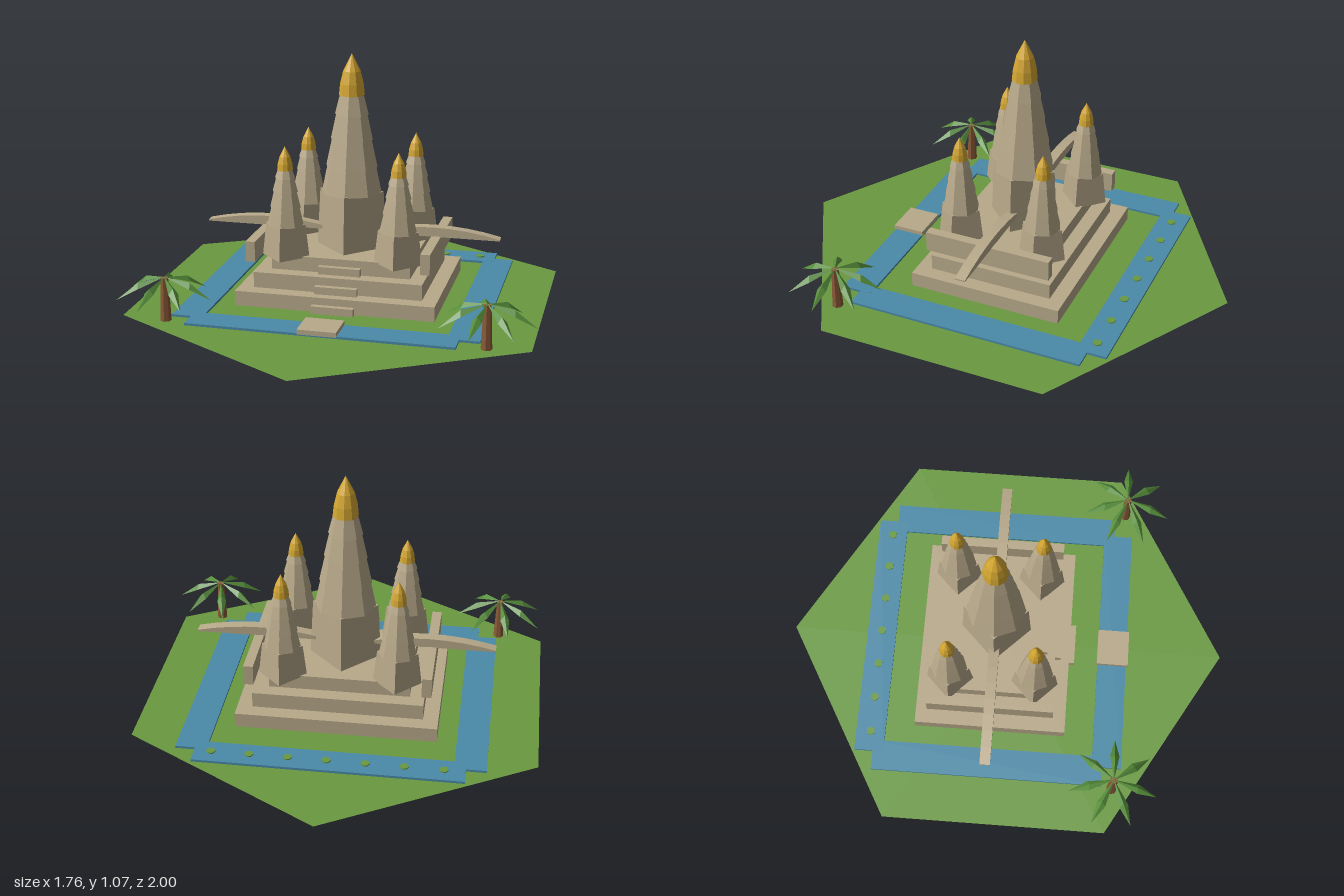
import * as THREE from 'three';

const mat = (name, color, extra = {}) => {
  const m = new THREE.MeshStandardMaterial({ color, ...extra });
  m.name = name;
  return m;
};

export function createModel() {
  const flat = { flatShading: true };
  const stone = mat('sandstone', 0xb8a98a, flat);
  const gold = mat('gold', 0xd6a832, flat);
  const grass = mat('grass', 0x6a9a40, { side: THREE.DoubleSide });
  const water = mat('water', 0x4a8aa8);
  const bark = mat('bark', 0x8b5a38, flat);
  const leaf = mat('leaf', 0x558c3a, { side: THREE.DoubleSide, flatShading: true });

  const model = new THREE.Group();
  model.name = 'templeIsland';
  // temple and grounds share this slightly offset centre
  const site = new THREE.Group();
  site.name = 'site';
  site.position.set(-0.017, 0, -0.048);
  model.add(site);

  const add = (parent, name, geo, material, x = 0, y = 0, z = 0) => {
    const m = new THREE.Mesh(geo, material);
    m.name = name;
    m.position.set(x, y, z);
    parent.add(m);
    return m;
  };
  // box given by centre x/z, width, depth and its bottom and top heights
  const box = (name, material, x, z, w, d, y0, y1) =>
    add(site, name, new THREE.BoxGeometry(w, y1 - y0, d), material, x, (y0 + y1) / 2, z);

  // hexagonal lawn
  const lawn = add(site, 'lawn', new THREE.CircleGeometry(1, 6, Math.PI / 2), grass, 0, 0, 0.048);
  lawn.rotation.x = -Math.PI / 2;

  // moat: four overlapping channels with notched corners
  for (const s of [-1, 1]) {
    box('moatCrossChannel', water, 0, s * 0.543, 1.14, 0.133, 0.004, 0.0145);
    box('moatSideChannel', water, s * 0.588, 0, 0.135, 1.05, 0.004, 0.014);
  }
  // lily pads on the rear channel
  for (let i = -3; i <= 3; i++) {
    const pad = add(site, 'lilyPad', new THREE.CylinderGeometry(0.02, 0.02, 0.005, 6), grass, 0.009 + i * 0.163, 0.017, -0.543);
    pad.rotation.y = Math.PI / 6;
  }
  box('frontLanding', stone, 0, 0.545, 0.166, 0.144, 0.012, 0.033);

  // stepped base and front stairs
  const tiers = [
    [0.436, 0.342, 0.008, 0.073],
    [0.37, 0.277, 0.073, 0.142],
    [0.306, 0.215, 0.142, 0.207],
  ];
  for (const [hx, hz, y0, y1] of tiers) {
    box('baseTier', stone, 0, 0, hx * 2, hz * 2, y0, y1);
    box('stairStep', stone, 0, hz - 0.02, 0.185, 0.09, y0, y0 + 0.033);
  }

  // raised side walls and arched beams reaching over the moat
  const arch = new THREE.Shape();
  arch.moveTo(0.08, 0.278);
  arch.lineTo(0.66, 0.278);
  arch.lineTo(0.66, 0.284);
  arch.quadraticCurveTo(0.37, 0.356, 0.08, 0.284);
  const archGeo = new THREE.ExtrudeGeometry(arch, { depth: 0.046, bevelEnabled: false, curveSegments: 8 });
  archGeo.translate(0, 0, -0.023);
  for (const s of [-1, 1]) {
    box('sideWall', stone, s * 0.382, 0, 0.042, 0.566, 0.19, 0.28);
    const beam = add(site, 'archedBeam', archGeo, stone);
    if (s < 0) beam.rotation.y = Math.PI;
  }

  // tower: diamond-plan foot, stacked eight-sided drums, gold finial
  const tower = (name, x, z, foot, drums, finial) => {
    const g = new THREE.Group();
    g.name = name;
    g.position.set(x, 0, z);
    site.add(g);
    const section = (part, rTop, rBottom, y0, y1, sides) =>
      add(g, part, new THREE.CylinderGeometry(rTop, rBottom, y1 - y0, sides), stone, 0, (y0 + y1) / 2, 0);
    section('towerFoot', foot[1], foot[0], 0.2, foot[2], 4);
    drums.slice(0, -1).forEach(([y, r], i) => {
      const [yNext, rNext] = drums[i + 1];
      section('towerDrum', rNext - 0.002, r + 0.003, y, yNext, 8);
    });
    const pts = finial.map(([r, y]) => new THREE.Vector2(r, y));
    add(g, 'goldFinial', new THREE.LatheGeometry(pts, 10), gold);
  };

  tower('mainTower', 0, 0, [0.157, 0.143, 0.46],
    [[0.455, 0.131], [0.57, 0.112], [0.69, 0.091], [0.8, 0.072], [0.89, 0.054]],
    [[0, 0.885], [0.056, 0.885], [0.051, 0.935], [0.038, 0.99], [0, 1.067]]);
  for (const sx of [-1, 1]) for (const sz of [-1, 1]) {
    tower('cornerTower', sx * 0.248, sz * 0.19, [0.105, 0.088, 0.345],
      [[0.342, 0.078], [0.42, 0.065], [0.49, 0.053], [0.55, 0.042], [0.588, 0.033]],
      [[0, 0.584], [0.034, 0.584], [0.031, 0.613], [0.023, 0.643], [0, 0.688]]);
  }

  // palm frond: folded along its ridge, drooping to a point
  const frond = new THREE.BufferGeometry();
  frond.setAttribute('position', new THREE.Float32BufferAttribute([
    0, 0.195, 0,
    0.11, 0.178, 0,
    0.115, 0.155, 0.021,
    0.115, 0.155, -0.021,
    0.202, 0.108, 0,
  ], 3));
  frond.setIndex([0, 2, 1, 0, 1, 3, 1, 2, 4, 1, 4, 3]);
  frond.computeVertexNormals();

  for (const x of [-0.681, 0.67]) {
    const palm = new THREE.Group();
    palm.name = 'palm';
    palm.position.set(x, 0, 0.523);
    model.add(palm);
    add(palm, 'palmTrunk', new THREE.CylinderGeometry(0.016, 0.024, 0.187, 7), bark, 0, 0.0985, 0);
    for (let i = 0; i < 7; i++) {
      add(palm, 'palmFrond', frond, leaf).rotation.y = (i * Math.PI * 2) / 7;
    }
  }
  return model;
}
